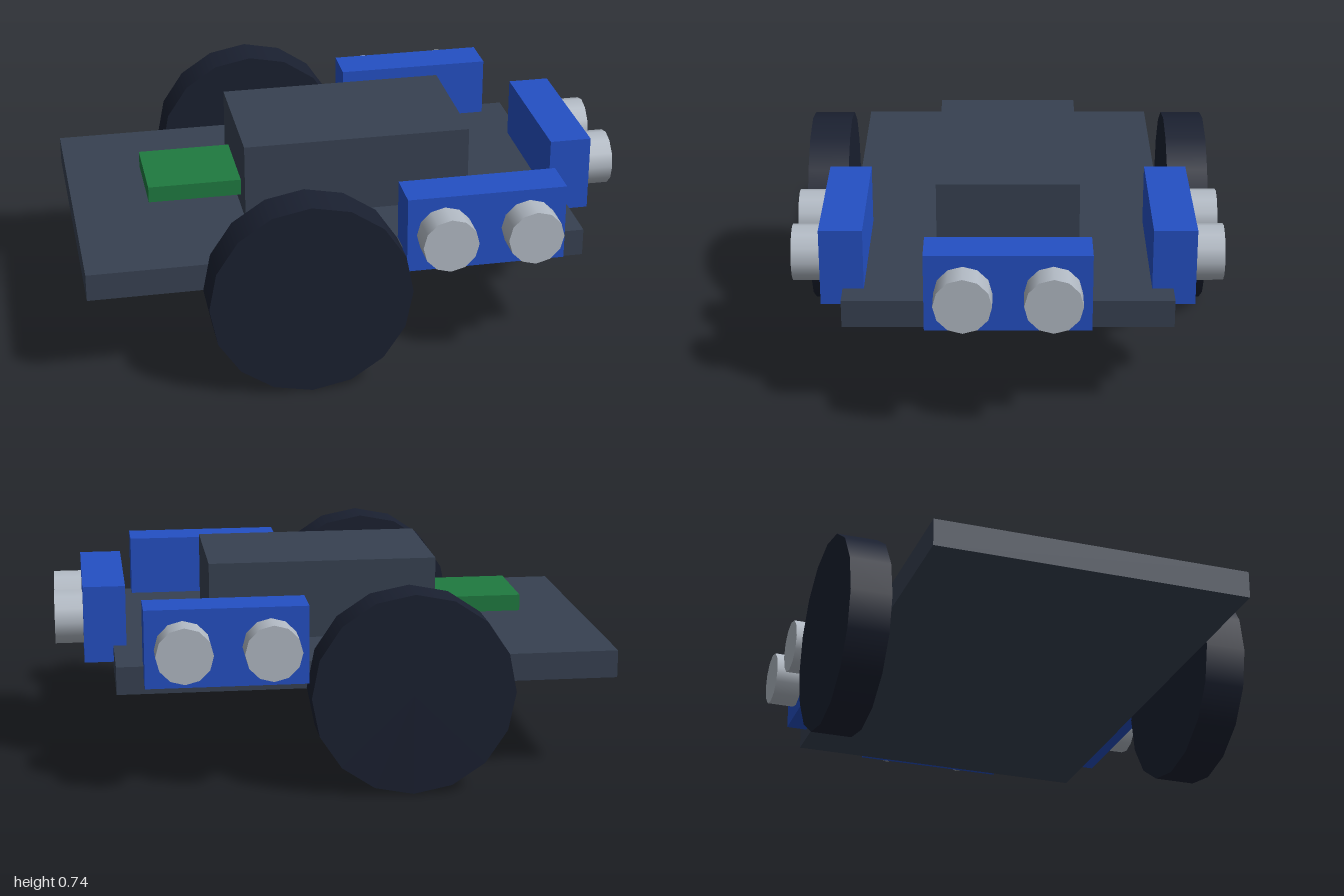
import * as THREE from 'three';

const material = (color) => new THREE.MeshStandardMaterial({ color });

export function createModel() {
  const slate = material(0x374151);
  const rubber = material(0x1a2030);
  const blue = material(0x2450c4);
  const green = material(0x1f7a40);
  const silver = material(0xb2bac4);

  const model = new THREE.Group();
  model.name = 'robotCar';

  const add = (parent, name, geometry, mat, x, y, z) => {
    const mesh = new THREE.Mesh(geometry, mat);
    mesh.name = name;
    mesh.position.set(x, y, z);
    parent.add(mesh);
    return mesh;
  };

  // Disc whose axis runs along z
  const disc = (radius, depth, sides) =>
    new THREE.CylinderGeometry(radius, radius, depth, sides).rotateX(Math.PI / 2);

  // Chassis plate, main housing and the small circuit board behind it
  add(model, 'chassisPlate', new THREE.BoxGeometry(1.79, 0.1, 1.15), slate, -0.105, 0.4, 0);
  add(model, 'housing', new THREE.BoxGeometry(0.83, 0.285, 0.51), slate, 0.025, 0.5925, 0);
  add(model, 'circuitBoard', new THREE.BoxGeometry(0.36, 0.06, 0.31), green, -0.55, 0.53, 0);

  // Two drive wheels
  for (const side of [1, -1]) {
    add(model, side > 0 ? 'wheelFront' : 'wheelBack',
      disc(0.36, 0.15, 16), rubber, -0.235, 0.36, side * 0.67);
  }

  // Range sensor: a block with two round eyes facing +z, turned into place
  const addSensor = (name, x, z, turn) => {
    const sensor = new THREE.Group();
    sensor.name = name;
    add(sensor, 'sensorBlock', new THREE.BoxGeometry(0.573, 0.28, 0.152), blue, 0, 0, 0);
    for (const eyeX of [-0.153, 0.153]) {
      add(sensor, 'sensorEye', disc(0.1, 0.103, 12), silver, eyeX, 0, 0.1265);
    }
    sensor.position.set(x, 0.53, z);
    sensor.rotation.y = turn;
    model.add(sensor);
  };
  addSensor('sensorFront', 0.408, 0.577, 0);
  addSensor('sensorBack', 0.408, -0.577, Math.PI);
  addSensor('sensorEnd', 0.819, 0, Math.PI / 2);

  return model;
}
